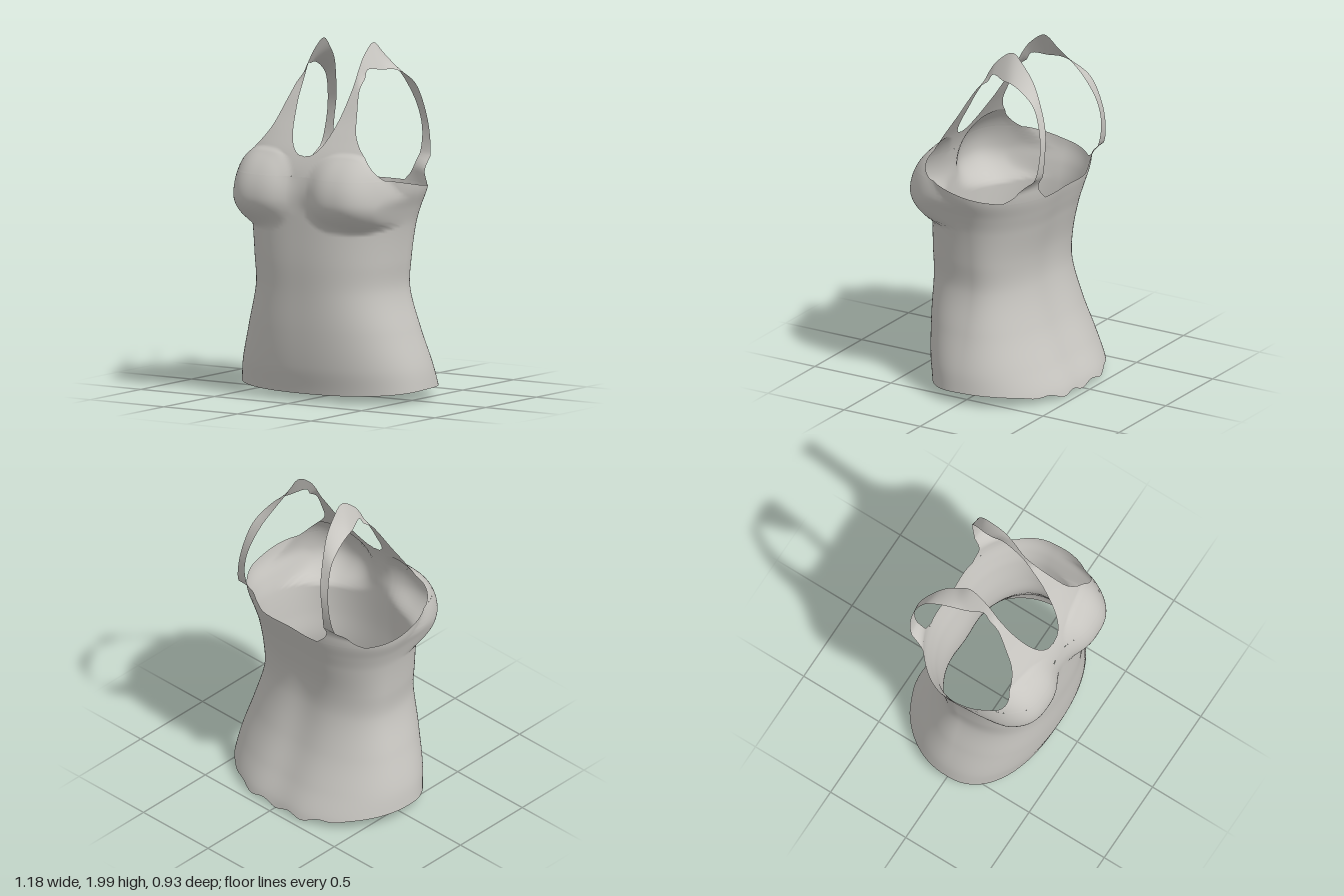
import * as THREE from 'three';

const fabric = new THREE.MeshStandardMaterial({ color: 0xc8c6c1, side: THREE.DoubleSide });
fabric.name = 'grey fabric';

const { lerp, smoothstep, clamp } = THREE.MathUtils;

// Outline by height: [y, half width, front depth, back depth]
const OUTLINE = [
  [0, 0.595, 0.355, -0.483], [0.07, 0.59, 0.365, -0.462], [0.2, 0.57, 0.39, -0.4],
  [0.4, 0.51, 0.405, -0.317], [0.63, 0.448, 0.408, -0.259], [0.8, 0.456, 0.412, -0.26],
  [1.0, 0.478, 0.408, -0.305], [1.1, 0.505, 0.405, -0.336], [1.2, 0.542, 0.4, -0.365],
  [1.3, 0.55, 0.378, -0.38], [1.4, 0.53, 0.335, -0.388], [1.5, 0.52, 0.275, -0.392],
  [1.6, 0.52, 0.21, -0.385], [1.7, 0.52, 0.15, -0.36], [1.8, 0.52, 0.085, -0.3],
  [1.9, 0.52, 0.02, -0.2],
];

// Smooth lookup of one outline column at height y
function at(y, col) {
  const n = OUTLINE.length;
  let i = 0;
  while (i < n - 2 && y > OUTLINE[i + 1][0]) i++;
  const p = (k) => OUTLINE[clamp(k, 0, n - 1)];
  const slope = (k) => (p(k + 1)[col] - p(k - 1)[col]) / (p(k + 1)[0] - p(k - 1)[0]);
  const h = p(i + 1)[0] - p(i)[0];
  const t = clamp((y - p(i)[0]) / h, 0, 1);
  const t2 = t * t, t3 = t2 * t;
  return (2 * t3 - 3 * t2 + 1) * p(i)[col] + (t3 - 2 * t2 + t) * h * slope(i)
    + (3 * t2 - 2 * t3) * p(i + 1)[col] + (t3 - t2) * h * slope(i + 1);
}

// Roundness of the section: oval at the hem, squarer across the chest
const frontPower = (y) => 2.25 + 0.25 * smoothstep(y, 0.1, 0.6) + 0.6 * smoothstep(y, 1.2, 1.4);
const BACK_POWER = 2.12;
const arc = (u, n) => Math.pow(Math.max(0, 1 - Math.pow(Math.min(1, u), n)), 1 / n);

// Depth of the front surface, with the bust blended softly into the torso
function frontZ(x, y) {
  const ax = Math.abs(x);
  const s = arc(ax / at(y, 1), frontPower(y));
  const base = at(y, 2) * s;
  const dx = Math.abs(ax - 0.265) / 0.262;
  const dy = (y - 1.15) / (y > 1.15 ? 0.3 : 0.2);
  const q = 1 - dx ** 2.6 - dy * dy;
  if (q <= 0) return base;
  const bust = Math.min(0.1, base) + 0.37 * Math.sqrt(q);
  const k = 0.12 * smoothstep(q, 0, 0.3) + 1e-4;
  const blend = Math.max(k - Math.abs(base - bust), 0) / k;
  const z = Math.max(base, bust) + blend * blend * k * 0.22;
  return base + (z - base) * smoothstep(s, 0, 0.5);
}

// Depth of the back surface, with a shallow groove along the spine
function backZ(x, y) {
  const groove = 0.024 * Math.exp(-((x / 0.14) ** 2));
  return at(y, 3) * arc(Math.abs(x) / at(y, 1), BACK_POWER) + groove;
}

// Geometry from a grid of points, rows by columns
function gridGeometry(rows, closed, flip) {
  const cols = rows[0].length, index = [];
  const last = closed ? cols : cols - 1;
  for (let r = 0; r < rows.length - 1; r++) {
    for (let c = 0; c < last; c++) {
      const a = r * cols + c, b = r * cols + (c + 1) % cols;
      const d = a + cols, e = b + cols;
      if (flip) index.push(a, d, b, b, d, e);
      else index.push(a, b, d, b, e, d);
    }
  }
  const g = new THREE.BufferGeometry();
  g.setAttribute('position', new THREE.Float32BufferAttribute(rows.flat(2), 3));
  g.setIndex(index);
  g.computeVertexNormals();
  return g;
}

// Torso tube: wavy hem below, armhole and neckline base above
function torsoGeometry() {
  const COLS = 144, ROWS = 72, rows = [];
  for (let r = 0; r <= ROWS; r++) {
    const row = [];
    for (let c = 0; c < COLS; c++) {
      const a = -(c / COLS) * Math.PI * 2;
      const front = Math.sin(a) >= 0;
      const power = front ? 2.5 : BACK_POWER;
      const u = Math.pow(Math.abs(Math.cos(a)), 2 / power);
      const s = arc(u, power);
      const depth = Math.abs(Math.sin(a));
      const ripple = 0.012 * Math.cos(u * 19) * smoothstep(depth, 0.6, 1);
      const hem = front ? lerp(0.08, 0.053, depth) : lerp(0.08, 0.024, depth ** 3) - ripple;
      const top = front ? 1.235 + 0.045 * Math.min(1, s / 0.55)
        : 1.2 + 0.035 * Math.max(0, 1 - s / 0.7);
      const y = lerp(hem, top, r / ROWS);
      const x = Math.sign(Math.cos(a)) * u * at(y, 1);
      row.push([x, y, front ? frontZ(x, y) : backZ(x, y)]);
    }
    rows.push(row);
  }
  return gridGeometry(rows, true, false);
}

// Chest panel and strap, from the bust over the shoulder to the back edge
const FRONT_EDGES = [ // inner x, inner y, outer x, outer y
  [0, 1.28, 0.49, 1.28], [0, 1.34, 0.445, 1.335], [0, 1.388, 0.395, 1.39],
  [0.045, 1.4, 0.365, 1.42], [0.09, 1.44, 0.33, 1.46], [0.13, 1.52, 0.285, 1.53],
  [0.16, 1.65, 0.247, 1.65], [0.17, 1.75, 0.222, 1.74],
];
const BACK_EDGES = [ // inner x, y, z, outer x, y, z
  [0.173, 1.86, 0.055, 0.21, 1.81, 0.045], [0.172, 1.935, 0.0, 0.205, 1.86, 0.01],
  [0.169, 2.0, -0.1, 0.243, 1.852, -0.08], [0.179, 1.935, -0.18, 0.265, 1.85, -0.15],
  [0.2, 1.865, -0.25, 0.285, 1.815, -0.24], [0.235, 1.77, -0.315, 0.305, 1.75, -0.32],
  [0.275, 1.62, -0.378, 0.332, 1.6, -0.375], [0.3, 1.48, -0.39, 0.355, 1.46, -0.385],
  [0.295, 1.35, -0.372, 0.375, 1.34, -0.36],
  [0.27, 1.26, backZ(0.27, 1.26), 0.405, 1.25, backZ(0.405, 1.25)],
  [0.215, 1.2, backZ(0.215, 1.2), 0.47, 1.2, backZ(0.47, 1.2)],
];

function strapGeometry(side) {
  const inner = [], outer = [];
  for (const [ix, iy, ox, oy] of FRONT_EDGES) {
    inner.push(new THREE.Vector3(ix, iy, frontZ(ix, iy)));
    outer.push(new THREE.Vector3(ox, oy, frontZ(ox, oy)));
  }
  for (const [ix, iy, iz, ox, oy, oz] of BACK_EDGES) {
    inner.push(new THREE.Vector3(ix, iy, iz));
    outer.push(new THREE.Vector3(ox, oy, oz));
  }
  const innerCurve = new THREE.CatmullRomCurve3(inner);
  const outerCurve = new THREE.CatmullRomCurve3(outer);
  const spans = inner.length - 1, STEPS = spans * 5, COLS = 30, rows = [];
  const lastFront = FRONT_EDGES.length - 1;
  for (let r = 0; r <= STEPS; r++) {
    const p = innerCurve.getPoint(r / STEPS), q = outerCurve.getPoint(r / STEPS);
    const onFront = clamp(lastFront + 1 - (r / STEPS) * spans, 0, 1);
    const onBack = clamp((r / STEPS) * spans - spans + 2, 0, 1);
    const row = [];
    for (let c = 0; c <= COLS; c++) {
      const v = p.clone().lerp(q, c / COLS);
      v.x = Math.max(0, v.x);
      v.z = lerp(v.z, frontZ(v.x, v.y), onFront);
      v.z = lerp(v.z, backZ(v.x, v.y), onBack);
      row.push([side * v.x, v.y, v.z]);
    }
    rows.push(row);
  }
  return gridGeometry(rows, false, side < 0);
}

export function createModel() {
  const group = new THREE.Group();
  group.name = 'tankTop';
  const add = (name, geometry) => {
    const mesh = new THREE.Mesh(geometry, fabric);
    mesh.name = name;
    group.add(mesh);
  };
  add('torso', torsoGeometry());
  add('leftChestAndStrap', strapGeometry(1));
  add('rightChestAndStrap', strapGeometry(-1));
  return group;
}
